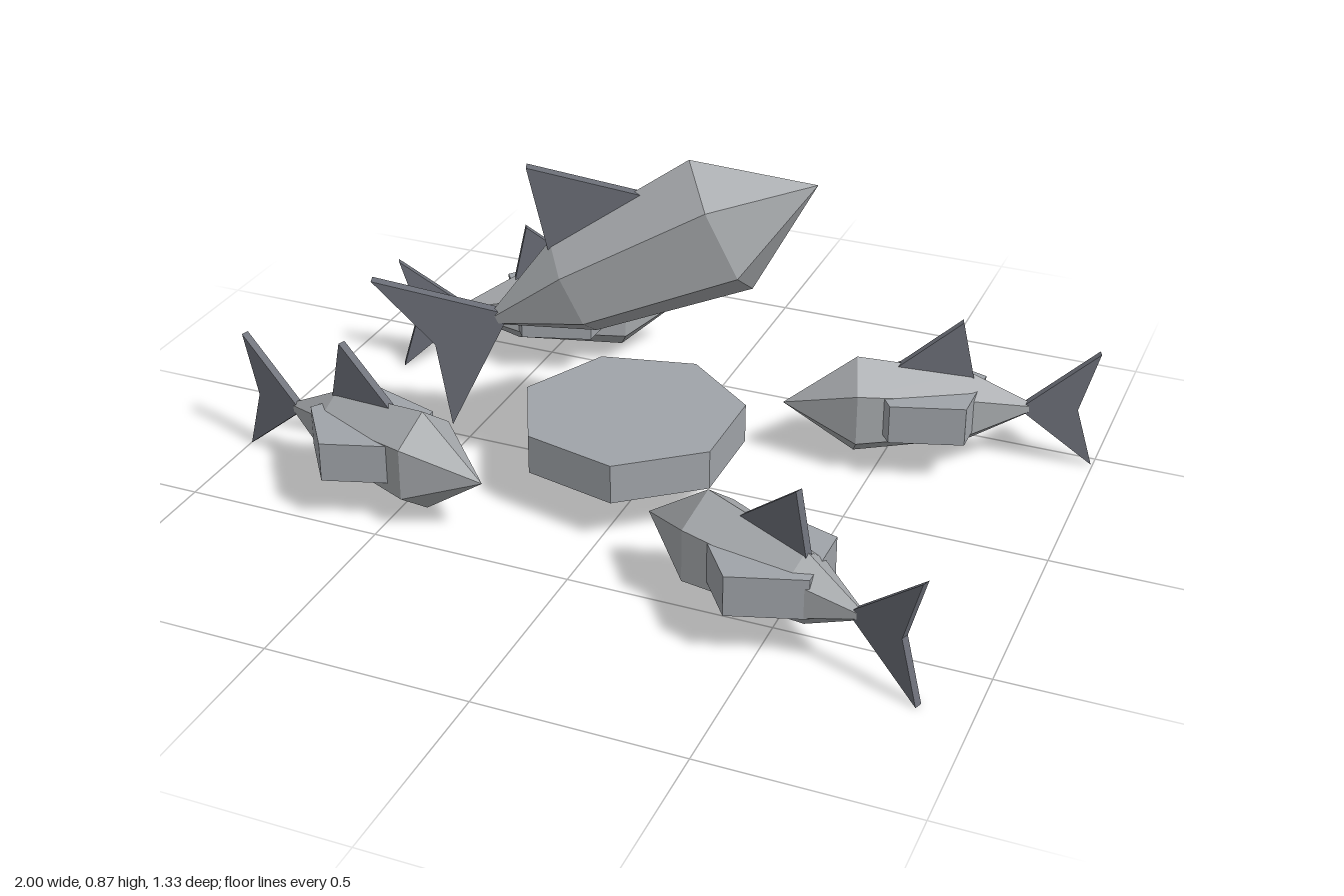
import * as THREE from 'three';

const mat = (name, color) => {
  const m = new THREE.MeshStandardMaterial({ color, flatShading: true });
  m.name = name;
  return m;
};

const BODY_LENGTH = 0.607;
const FIN_THICKNESS = 0.02;
const rad = THREE.MathUtils.degToRad;

// Flat fin cut from an outline in the fish's own side plane
function finGeometry(outline) {
  const shape = new THREE.Shape(outline.map(([x, y]) => new THREE.Vector2(x, y)));
  const geo = new THREE.ExtrudeGeometry(shape, { depth: FIN_THICKNESS, bevelEnabled: false });
  geo.translate(0, 0, -FIN_THICKNESS / 2);
  return geo;
}

// Six-sided body with ridges along the back and belly, from tail root (x = 0) to nose
function bodyGeometry() {
  const profile = [[0, 0], [0.015, 0], [0.094, 0.148], [0.132, 0.428], [0, BODY_LENGTH]];
  const geo = new THREE.LatheGeometry(
    profile.map(([r, y]) => new THREE.Vector2(r, y)), 6, Math.PI / 2);
  geo.rotateZ(-Math.PI / 2);
  geo.scale(1, 1, 0.77);
  return geo;
}

export function createModel() {
  const model = new THREE.Group();
  model.name = 'fishGroup';

  const scales = mat('bodyGrey', 0xa5a8ab);
  const stone = mat('padGrey', 0xa0a4a9);
  const fins = mat('finGrey', 0x6b6e77);

  const body = bodyGeometry();
  const tail = finGeometry([[0.01, 0.012], [-0.165, 0.155], [-0.12, 0], [-0.165, -0.155], [0.01, -0.012]]);
  const dorsal = finGeometry([[0.335, 0.105], [0.174, 0.235], [0.14, 0.08]]);

  // Fish placed by nose position and heading
  function addFish(name, nose, yaw, pitch = 0, scale = 1) {
    const fish = new THREE.Group();
    fish.name = name;
    const parts = [['body', body, scales], ['tailFin', tail, fins], ['dorsalFin', dorsal, fins]];
    for (const [part, geo, material] of parts) {
      const mesh = new THREE.Mesh(geo, material);
      mesh.name = part;
      mesh.position.x = -BODY_LENGTH;
      fish.add(mesh);
    }
    fish.position.set(...nose);
    fish.rotation.set(0, rad(yaw), rad(pitch));
    fish.scale.setScalar(scale);
    model.add(fish);
  }

  // Flat polygon pad with one corner pointing to -x
  function addPad(name, x, z, radius, sides) {
    const mesh = new THREE.Mesh(
      new THREE.CylinderGeometry(radius, radius, 0.1, sides, 1, false, -Math.PI / 2), stone);
    mesh.name = name;
    mesh.position.set(x, 0.165, z);
    model.add(mesh);
  }

  addFish('leapingFish', [0.378, 0.81, -0.09], 21, 25, 1.36);
  addFish('frontRightFish', [-0.25, 0.155, 0.424], -14.7);
  addFish('frontLeftFish', [0.155, 0.155, 0.385], 159.8);
  addFish('backLeftFish', [0.267, 0.155, -0.214], -160);
  addFish('backRightFish', [-0.172, 0.155, -0.672], 30);

  addPad('centrePad', -0.027, 0.058, 0.278, 7);
  addPad('frontRightPad', -0.59, 0.348, 0.157, 5);
  addPad('frontLeftPad', 0.487, 0.507, 0.157, 5);
  addPad('backLeftPad', 0.597, -0.337, 0.157, 5);
  addPad('backRightPad', -0.468, -0.5, 0.157, 5);

  return model;
}
